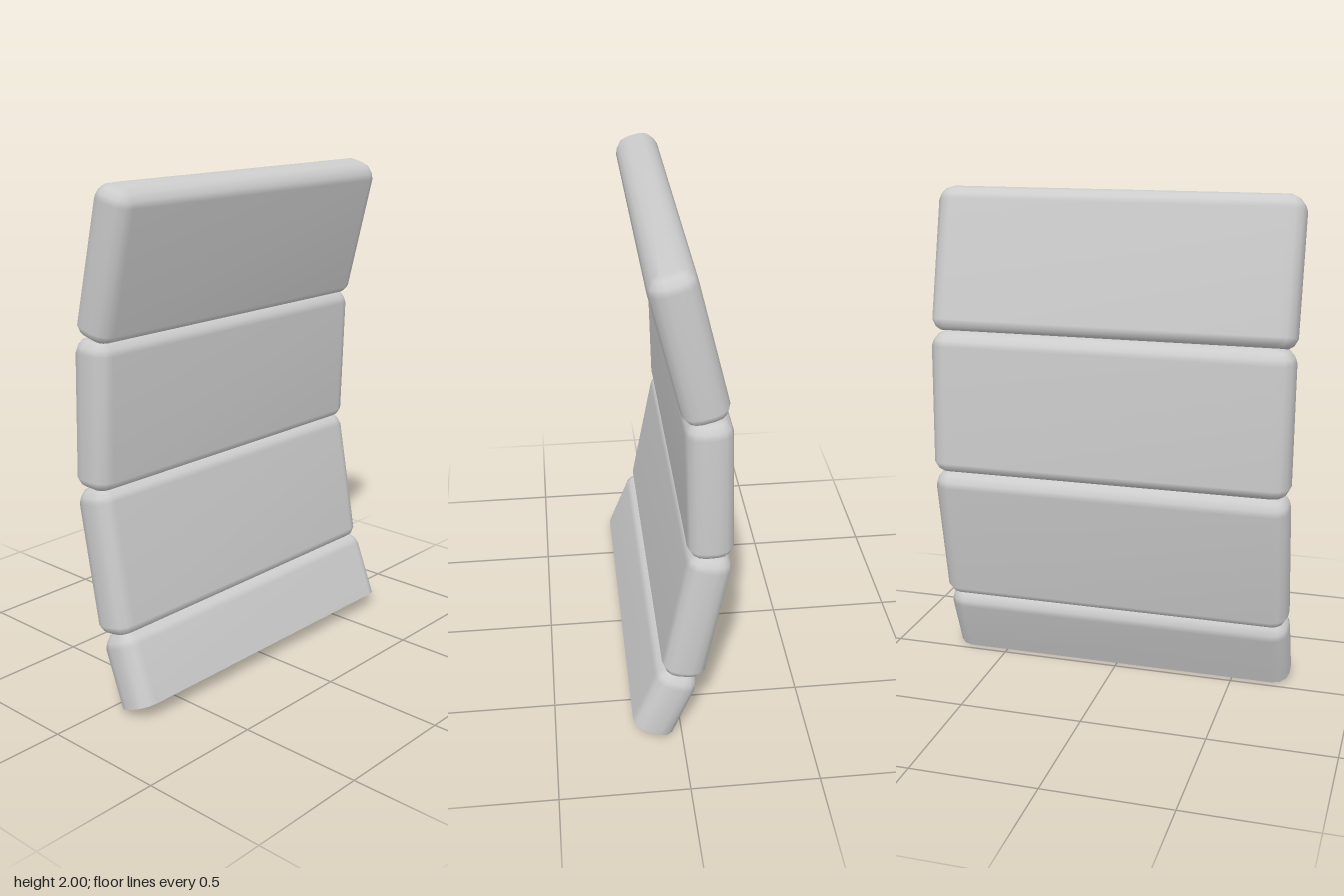
import * as THREE from 'three';

const HALF_W = 0.733, HALF_D = 0.087, CORNER = 0.065;

// Rounded rectangle in the xz plane, shrunk by inset
function outline(inset) {
  const r = Math.max(CORNER - inset, 0.015), steps = 3, pts = [];
  const cx = HALF_W - inset - r, cz = HALF_D - inset - r;
  const signs = [[1, 1], [-1, 1], [-1, -1], [1, -1]];
  signs.forEach(([sx, sz], q) => {
    for (let i = 0; i <= steps; i++) {
      const a = (q + i / steps) * Math.PI / 2;
      pts.push([sx * cx + r * Math.cos(a), sz * cz + r * Math.sin(a)]);
    }
  });
  return pts;
}

// Padded slab lofted through [height, inset] levels; cutBottom leaves a sharp flat base
function slabGeometry(length, cutBottom) {
  const h = length / 2;
  const bottom = cutBottom
    ? [[-h, 0]]
    : [[-h, 0.036], [-h + 0.012, 0.016], [-h + 0.04, 0]];
  const top = [[h - 0.058, 0], [h - 0.035, 0.008], [h - 0.013, 0.026], [h, 0.054]];
  const levels = [...bottom, ...top];
  const pos = [], index = [];
  for (const [y, inset] of levels) for (const [x, z] of outline(inset)) pos.push(x, y, z);
  const n = pos.length / 3 / levels.length;

  for (let l = 0; l < levels.length - 1; l++) {
    for (let i = 0; i < n; i++) {
      const a = l * n + i, b = l * n + (i + 1) % n;
      index.push(a, a + n, b, b, a + n, b + n);
    }
  }

  // End caps
  let base = 0;
  if (cutBottom) {
    base = pos.length / 3;
    for (const [x, z] of outline(0)) pos.push(x, -h, z);
  }
  const low = pos.length / 3, high = low + 1, last = (levels.length - 1) * n;
  pos.push(0, -h, 0, 0, h, 0);
  for (let i = 0; i < n; i++) {
    const j = (i + 1) % n;
    index.push(low, base + i, base + j);
    index.push(high, last + j, last + i);
  }

  const g = new THREE.BufferGeometry();
  g.setAttribute('position', new THREE.Float32BufferAttribute(pos, 3));
  g.setIndex(index);
  g.computeVertexNormals();
  return g;
}

export function createModel() {
  const model = new THREE.Group();
  model.name = 'curvedPaddedBack';
  const grey = new THREE.MeshStandardMaterial({ color: 0xcccccc });
  grey.name = 'light grey';

  // Four slabs following a gentle curve
  const slabs = [
    { name: 'topPad', y: 1.715, z: -0.015, tilt: 14, length: 0.575 },
    { name: 'upperMiddlePad', y: 1.15, z: -0.095, tilt: 1.8, length: 0.58 },
    { name: 'lowerMiddlePad', y: 0.58, z: -0.055, tilt: -10.5, length: 0.58 },
    { name: 'bottomPad', y: 0.168, z: 0.057, tilt: -21.5, length: 0.295, cut: true },
  ];
  for (const s of slabs) {
    const mesh = new THREE.Mesh(slabGeometry(s.length, s.cut), grey);
    mesh.name = s.name;
    mesh.position.set(0, s.y, s.z);
    mesh.rotation.x = THREE.MathUtils.degToRad(s.tilt);
    model.add(mesh);
  }
  return model;
}
